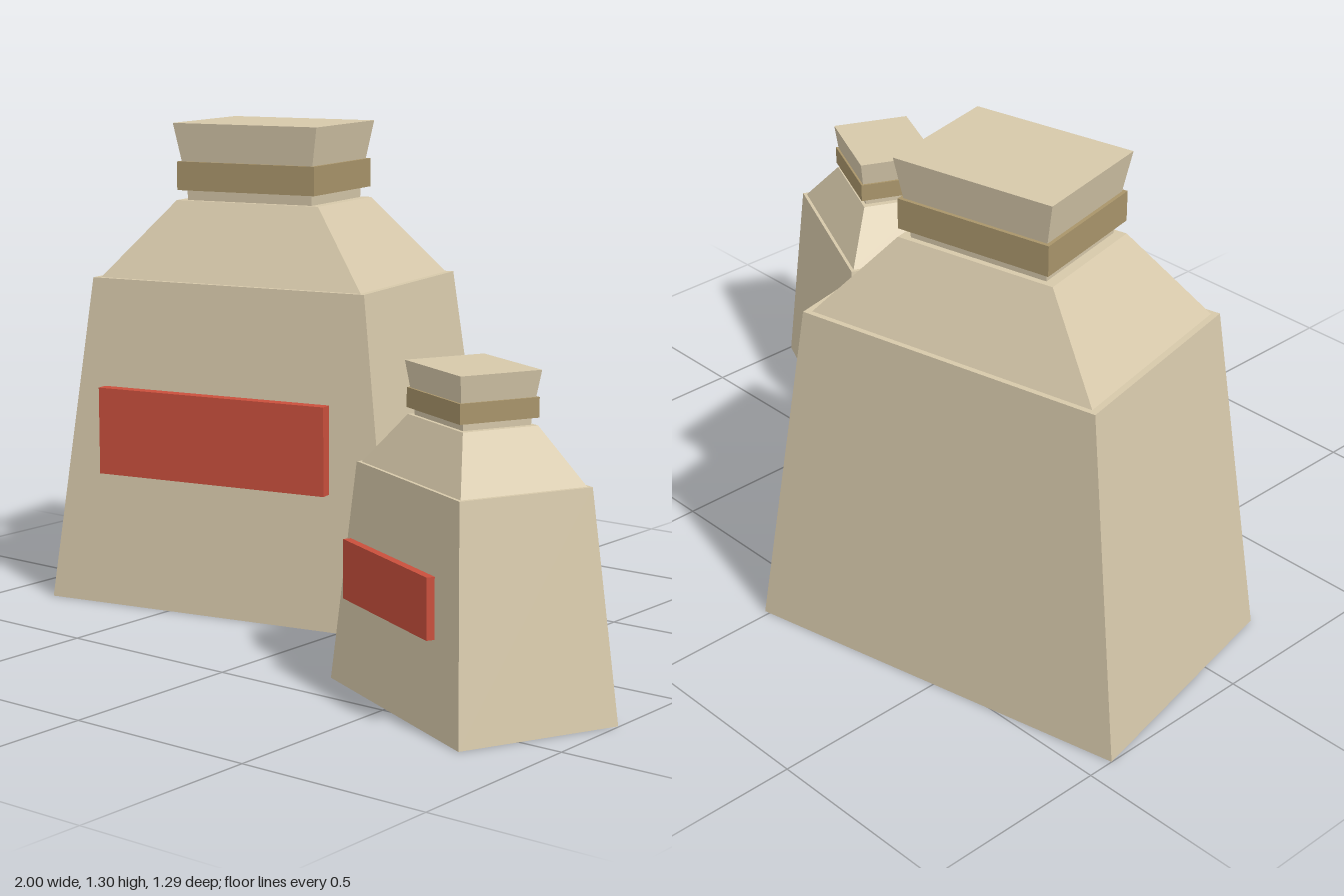
import * as THREE from 'three';

const cloth = new THREE.MeshStandardMaterial({ color: 0xd6c8aa });
cloth.name = 'cream cloth';
const cord = new THREE.MeshStandardMaterial({ color: 0xa8946a });
cord.name = 'tan cord';
const red = new THREE.MeshStandardMaterial({ color: 0xc94f3c });
red.name = 'red label';

// Box from y0 to y1 whose bottom (w0 x d0) tapers or flares to its top (w1 x d1)
function taperedBox(name, material, y0, y1, w0, d0, w1 = w0, d1 = d0) {
  const geometry = new THREE.BoxGeometry(1, 1, 1);
  const p = geometry.attributes.position;
  for (let i = 0; i < p.count; i++) {
    const top = p.getY(i) > 0;
    p.setXYZ(i, p.getX(i) * (top ? w1 : w0), top ? y1 : y0, p.getZ(i) * (top ? d1 : d0));
  }
  geometry.computeVertexNormals();
  const mesh = new THREE.Mesh(geometry, material);
  mesh.name = name;
  return mesh;
}

function createSack(name) {
  const sack = new THREE.Group();
  sack.name = name;
  // Red label standing just off the sloping front
  const label = taperedBox('label', red, 0.368, 0.602, 0.675, 0.033);
  label.position.z = 0.355;
  sack.add(
    taperedBox('body', cloth, 0, 0.885, 1.036, 0.673, 0.815, 0.557),
    taperedBox('shoulder', cloth, 0.885, 1.092, 0.782, 0.529, 0.428, 0.318),
    taperedBox('neck', cloth, 1.092, 1.198, 0.375, 0.288, 0.385, 0.3),
    taperedBox('tie', cord, 1.12, 1.197, 0.414, 0.336),
    taperedBox('gatheredTop', cloth, 1.197, 1.3, 0.395, 0.317, 0.433, 0.343),
    label
  );
  return sack;
}

export function createModel() {
  const model = new THREE.Group();
  model.name = 'sacks';

  const large = createSack('largeSack');
  large.position.set(-0.423, 0, -0.208);
  large.rotation.y = THREE.MathUtils.degToRad(12);

  const small = createSack('smallSack');
  small.position.set(0.618, 0, 0.316);
  small.rotation.y = THREE.MathUtils.degToRad(-25);
  small.scale.setScalar(0.62);

  model.add(large, small);
  return model;
}
